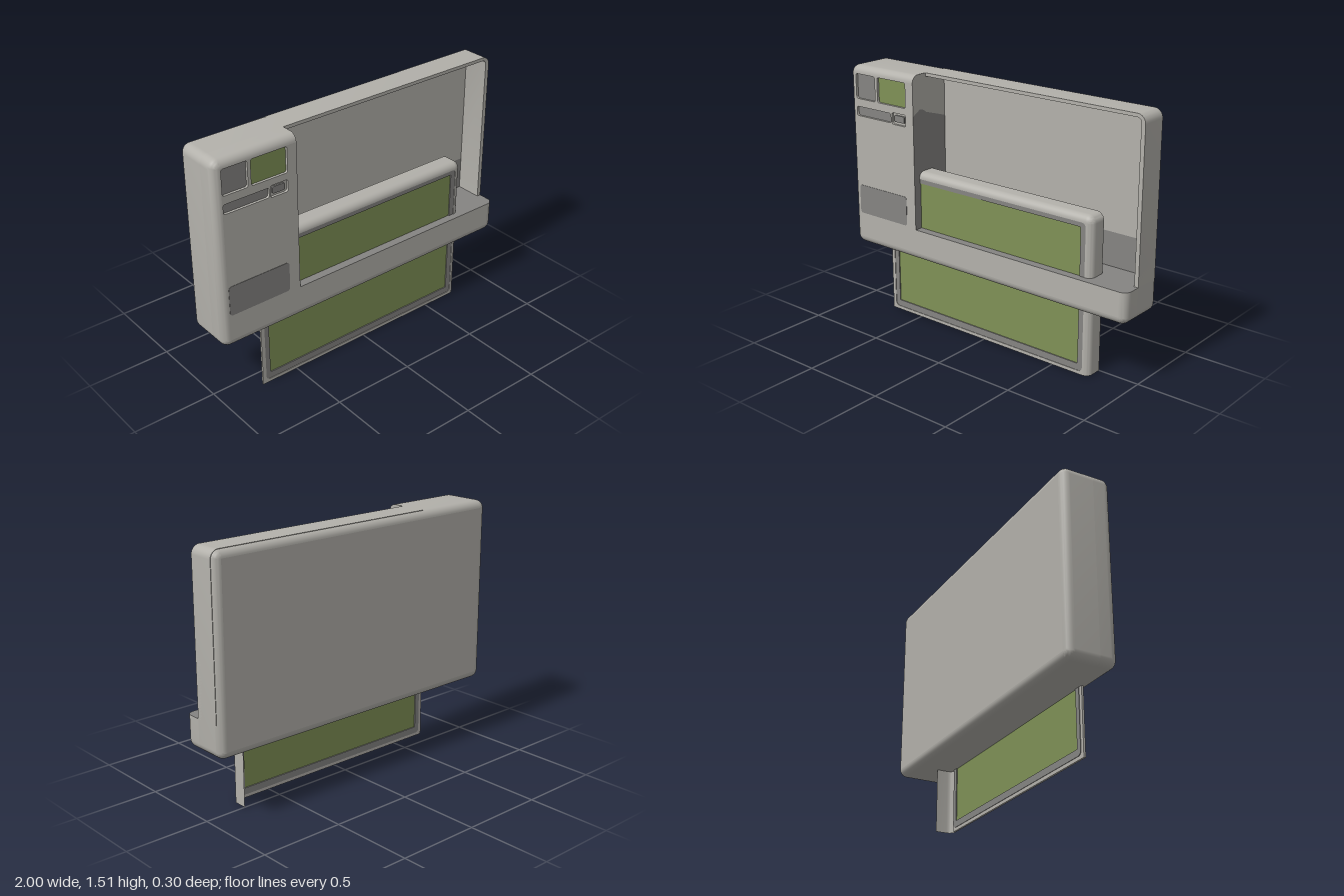
import * as THREE from 'three';
import { toCreasedNormals } from 'three/addons/utils/BufferGeometryUtils.js';

const V2 = (x, y) => new THREE.Vector2(x, y);

// points along a quarter circle, anticlockwise from angle a (in quarter turns)
function arc(cx, cy, r, a, n = 8) {
  return Array.from({ length: n + 1 }, (_, i) => {
    const t = (a + i / n) * Math.PI / 2;
    return V2(cx + r * Math.cos(t), cy + r * Math.sin(t));
  });
}

function roundRect(x0, x1, y0, y1, r) {
  return [...arc(x1 - r, y0 + r, r, 3), ...arc(x1 - r, y1 - r, r, 0),
    ...arc(x0 + r, y1 - r, r, 1), ...arc(x0 + r, y0 + r, r, 2)];
}

// skin joining rings of points; each ring is { z, pts }
function loft(rings, closed) {
  const n = rings[0].pts.length, pos = [], index = [];
  rings.forEach(({ z, pts }) => pts.forEach(p => pos.push(p.x, p.y, z)));
  for (let i = 0; i < rings.length - 1; i++) {
    for (let j = 0; j < (closed ? n : n - 1); j++) {
      const k = (j + 1) % n, a = i * n + j, b = i * n + k;
      index.push(a, b, b + n, a, b + n, a + n);
    }
  }
  const g = new THREE.BufferGeometry();
  g.setAttribute('position', new THREE.Float32BufferAttribute(pos, 3));
  g.setIndex(index);
  return toCreasedNormals(g, 0.6);
}

function makeShape(pts, holes = []) {
  const s = new THREE.Shape(pts);
  holes.forEach(h => s.holes.push(new THREE.Path(h)));
  return s;
}
const flat = (pts, holes) => new THREE.ShapeGeometry(makeShape(pts, holes));
const slab = (pts, holes, depth) =>
  new THREE.ExtrudeGeometry(makeShape(pts, holes), { depth, bevelEnabled: false });

// inset and height of a quarter-round edge, from the side wall to the face
function fillet(f, n = 8) {
  return Array.from({ length: n + 1 }, (_, i) => {
    const t = i / n * Math.PI / 2;
    return { d: f * (1 - Math.cos(t)), h: f * Math.sin(t) };
  });
}

export function createModel() {
  const mat = (name, color) => new THREE.MeshStandardMaterial({ name, color, side: THREE.DoubleSide });
  const casing = mat('casing grey', 0xb3b1ab);
  const dark = mat('dark grey', 0x858482);
  const green = mat('screen green', 0x7f9156);

  const model = new THREE.Group();
  model.name = 'device';
  let parent = model;
  const add = (name, geo, material, x = 0, y = 0, z = 0) => {
    const m = new THREE.Mesh(geo, material);
    m.name = name;
    m.position.set(x, y, z);
    parent.add(m);
    return m;
  };
  const group = name => {
    parent = new THREE.Group();
    parent.name = name;
    model.add(parent);
  };

  const L = -1, R = 1, B = 0.39, T = 1.51, r = 0.05, f = 0.045;
  const back = -0.15, step = 0.04, front = 0.15;
  const wallX = -0.49, floorY = 0.58, inR = 0.975, inT = 1.49, inZ = -0.12;

  // rear casing with rounded back edge
  group('casing');
  const ring = d => roundRect(L + d, R - d, B + d, T - d, r - d);
  const rearRings = fillet(f).reverse().map(({ d, h }) => ({ z: back + f - h, pts: ring(d) }));
  rearRings.push({ z: step, pts: ring(0) });
  add('rearShell', loft(rearRings, true), casing);
  add('backPanel', flat(ring(f)).rotateY(Math.PI), casing, 0, 0, back);

  // raised L-shaped front: control column and lower bar
  const lPath = d => [V2(wallX, T - d), ...arc(L + r, T - r, r - d, 1),
    ...arc(L + r, B + r, r - d, 2), ...arc(R - r, B + r, r - d, 3), V2(R - d, floorY)];
  const frontRings = [{ z: step, pts: lPath(0) },
    ...fillet(f).map(({ d, h }) => ({ z: front - f + h, pts: lPath(d) }))];
  add('frontShell', loft(frontRings, false), casing);

  const openings = [
    ['cameraWindow', -0.95, -0.795, 1.31, 1.46, dark],
    ['smallScreen', -0.775, -0.55, 1.31, 1.46, green],
    ['slot', -0.95, -0.67, 1.205, 1.262, dark],
    ['buttonWell', -0.66, -0.55, 1.2, 1.27, casing],
  ];
  const rims = openings.map(([, x0, x1, y0, y1]) => roundRect(x0, x1, y0, y1, 0.012));
  add('frontFace', flat([...lPath(f), V2(wallX, floorY)], rims), casing, 0, 0, front);

  // sunken windows, slot and button
  group('controls');
  openings.forEach(([name, , , , , m], i) => {
    const wall = [{ z: front, pts: rims[i] }, { z: front - 0.02, pts: rims[i] }];
    add(name + 'Rim', loft(wall, true), casing);
    add(name, flat(rims[i]), m, 0, 0, front - 0.015);
  });
  add('button', slab(roundRect(-0.645, -0.567, 1.216, 1.256, 0.008), [], 0.009), dark, 0, 0, front - 0.014);
  add('grillePlate', slab(roundRect(-0.95, -0.56, 0.59, 0.77, 0.018), [], 0.002), dark, 0, 0, front);

  // open bay behind the sliding screen
  group('bay');
  const rim = [V2(wallX, inT), ...arc(inR - 0.025, inT - 0.025, 0.025, 0).reverse(),
    V2(inR, floorY), V2(R, floorY), ...arc(R - r, T - r, r, 0), V2(wallX, T)];
  add('bayRim', toCreasedNormals(slab(rim, [], step - inZ), 0.6), casing, 0, 0, inZ);
  const bayRect = (y0, y1) => flat([V2(wallX, y0), V2(inR, y0), V2(inR, y1), V2(wallX, y1)]);
  add('bayBackUpper', bayRect(0.78, inT), casing, 0, 0, inZ);
  add('bayBackLower', bayRect(floorY, 0.78), dark, 0, 0, inZ);
  const floor = [V2(wallX, -inZ), V2(wallX, -front),
    ...arc(R - f, -front + f, f, 3), V2(R, -step), V2(inR, -step), V2(inR, -inZ)];
  add('bayFloor', flat(floor).rotateX(-Math.PI / 2), dark, 0, floorY, 0);

  // side wall of the column, split along a wavy line
  const wave = [V2(-front, 1.27), V2(-0.125, 1.285), V2(-0.09, 1.305), V2(-0.06, 1.295),
    V2(-step, 1.28), V2(-inZ, 1.23)];
  const upper = [...wave, V2(-inZ, T), ...arc(-front + f, T - f, f, 1)];
  const lower = [...wave, V2(-inZ, floorY), V2(-front, floorY)];
  add('columnSideUpper', flat(upper).rotateY(Math.PI / 2), casing, wallX);
  add('columnSideLower', flat(lower).rotateY(Math.PI / 2), dark, wallX);

  // sliding screen: hollow behind, walled on the top and left only
  group('slidingScreen');
  const sL = -0.735, sR = 0.745, sT = 0.93, sF = 0.108, sr = 0.045, sf = 0.04;
  const sPath = d => [V2(sR - d, 0), ...arc(sR - sr, sT - sr, sr - d, 0), V2(sL, sT - d)];
  const sRings = [{ z: 0, pts: sPath(0) },
    ...fillet(sf).map(({ d, h }) => ({ z: sF - sf + h, pts: sPath(d) }))];
  add('screenShell', loft(sRings, false), casing);
  const frame = roundRect(-0.712, 0.704, 0.02, 0.887, 0.025);
  const pane = [V2(-0.68, 0.06), V2(0.67, 0.06), V2(0.67, 0.86), V2(-0.68, 0.86)];
  add('screenFace', slab([...sPath(sf), V2(sL, 0)], [frame], 0.012), casing, 0, 0, sF - 0.012);
  add('screenBezel', slab(frame, [pane], 0.012), dark, 0, 0, sF - 0.015);
  add('screenPane', flat(pane), green, 0, 0, sF - 0.009);

  return model;
}
